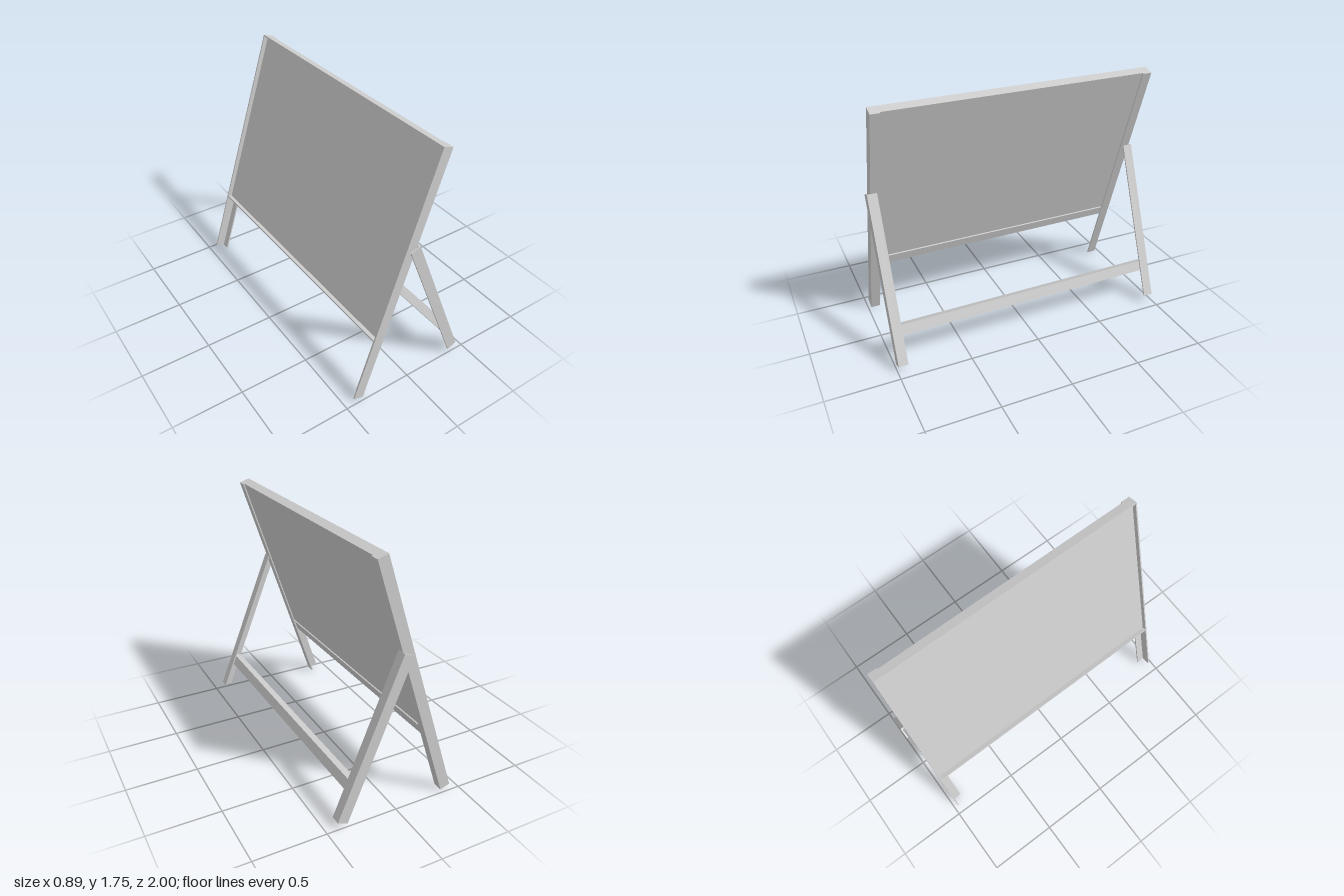
import * as THREE from 'three';

const material = new THREE.MeshStandardMaterial({ color: 0xcccccc });
const T = 0.01; // sheet thickness of the angle profiles

// Box given by its limits along each axis
function plate(parent, name, [x0, x1], [y0, y1], [z0, z1]) {
  const geometry = new THREE.BoxGeometry(x1 - x0, y1 - y0, z1 - z0);
  const mesh = new THREE.Mesh(geometry, material);
  mesh.position.set((x0 + x1) / 2, (y0 + y1) / 2, (z0 + z1) / 2);
  mesh.name = name;
  parent.add(mesh);
}

// L-profile leg pair: outer side web plus a flange turned inwards at the back
function legPair(parent, name, xFront, xBack, length, zOuter, flange) {
  for (const s of [1, -1]) {
    const leg = new THREE.Group();
    leg.name = name;
    const span = (a, b) => [Math.min(s * a, s * b), Math.max(s * a, s * b)];
    plate(leg, name + 'Web', [xFront, xBack], [0, length], span(zOuter - T, zOuter));
    plate(leg, name + 'Flange', [xBack - T, xBack], [0, length], span(zOuter - flange, zOuter - T));
    parent.add(leg);
  }
}

export function createModel() {
  const root = new THREE.Group();
  root.name = 'folding sign board';
  const stand = new THREE.Group();
  stand.name = 'stand';
  stand.rotation.y = 0.0085; // slight yaw
  root.add(stand);

  // Leaning board frame: local y runs up the slope, local x to the back
  const frame = new THREE.Group();
  frame.name = 'boardFrame';
  frame.position.set(-0.437, 0.025, 0);
  frame.rotation.z = -0.315;
  stand.add(frame);
  const H = 1.815, zIn = 0.965, bottom = 0.463, lip = 0.07;
  legPair(frame, 'mainLeg', 0, 0.075, H, 0.975, 0.065);
  const across = [-zIn, zIn];
  plate(frame, 'topRailWeb', [0, 0.065], [H - T, H], across);
  plate(frame, 'topRailFlange', [0.055, 0.065], [H - lip, H - T], across);
  plate(frame, 'bottomRailWeb', [0, 0.065], [bottom, bottom + T], across);
  plate(frame, 'bottomRailFlange', [0.055, 0.065], [bottom + T, bottom + lip], across);
  plate(frame, 'boardPanel', [0.032, 0.055], [bottom + T, H - T], across);

  // Rear support: legs outside the frame, joined by an angle-profile crossbar
  const support = new THREE.Group();
  support.name = 'rearSupport';
  support.position.set(0.435, 0.055, 0);
  support.rotation.z = 0.386;
  stand.add(support);
  legPair(support, 'rearLeg', -0.075, 0, 1.155, 0.998, 0.067);
  const bar = [-0.988, 0.988], barTop = 0.27;
  plate(support, 'crossbarWeb', [-0.075, -T], [barTop - T, barTop], bar);
  plate(support, 'crossbarFlange', [-2 * T, -T], [barTop - lip, barTop - T], bar);

  return root;
}
